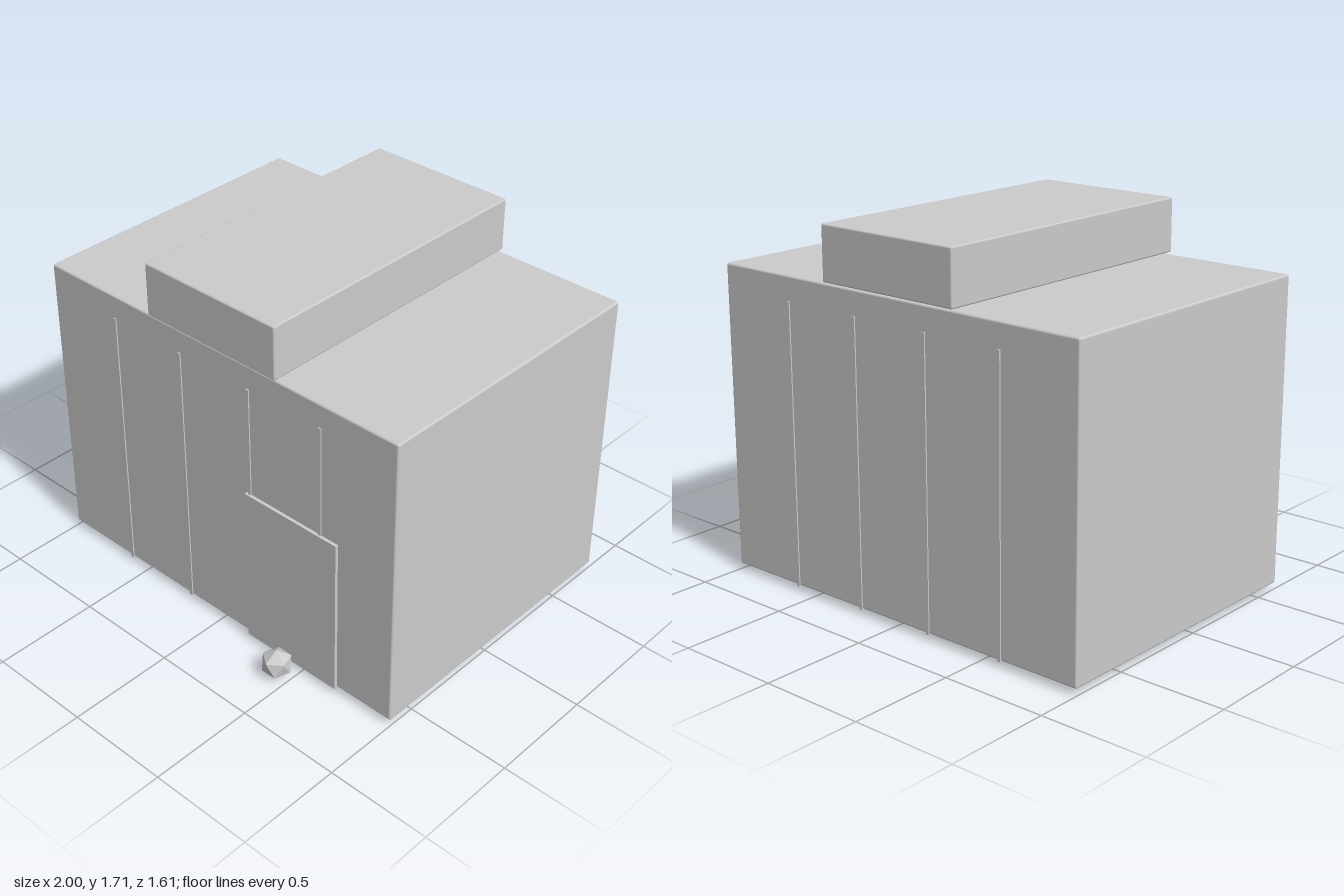
import * as THREE from 'three';
import { RoundedBoxGeometry } from 'three/addons/geometries/RoundedBoxGeometry.js';

export function createModel() {
  const model = new THREE.Group();
  const grey = new THREE.MeshStandardMaterial({ color: 0xcccccc });
  const faceted = new THREE.MeshStandardMaterial({ color: 0xcccccc, flatShading: true });

  // Box given by its extents on each axis; a bevel rounds its edges
  const addBox = (name, [x0, x1], [y0, y1], [z0, z1], bevel = 0) => {
    const size = [x1 - x0, y1 - y0, z1 - z0];
    const geometry = bevel
      ? new RoundedBoxGeometry(...size, 2, bevel)
      : new THREE.BoxGeometry(...size);
    const mesh = new THREE.Mesh(geometry, grey);
    mesh.name = name;
    mesh.position.set((x0 + x1) / 2, (y0 + y1) / 2, (z0 + z1) / 2);
    model.add(mesh);
  };

  // Main block and the long box lying across the roof
  addBox('body', [-1, 1], [0.028, 1.45], [-0.787, 0.639], 0.01);
  addBox('roofBox', [-0.368, 0.368], [1.457, 1.707], [-0.8, 0.653], 0.008);

  // Door panel, standing slightly proud of the front wall
  addBox('door', [0.18, 0.698], [0.025, 0.808], [0.62, 0.654]);

  // Thin vertical battens on the front and back walls
  for (const x of [-0.6, -0.2, 0.2, 0.6]) {
    addBox('frontBatten', [x - 0.008, x + 0.008], [0.025, 1.338], [0.625, 0.645]);
    addBox('backBatten', [x - 0.008, x + 0.008], [0.025, 1.338], [-0.793, -0.773]);
  }

  // Faceted stone in front of the door, turned to stand on one corner
  const stoneGeometry = new THREE.IcosahedronGeometry(0.073, 0);
  stoneGeometry.rotateZ(-Math.atan(2 / (1 + Math.sqrt(5))));
  stoneGeometry.rotateY(-Math.PI / 2);
  const stone = new THREE.Mesh(stoneGeometry, faceted);
  stone.name = 'stone';
  stone.position.set(0.438, 0.073, 0.741);
  model.add(stone);

  return model;
}
